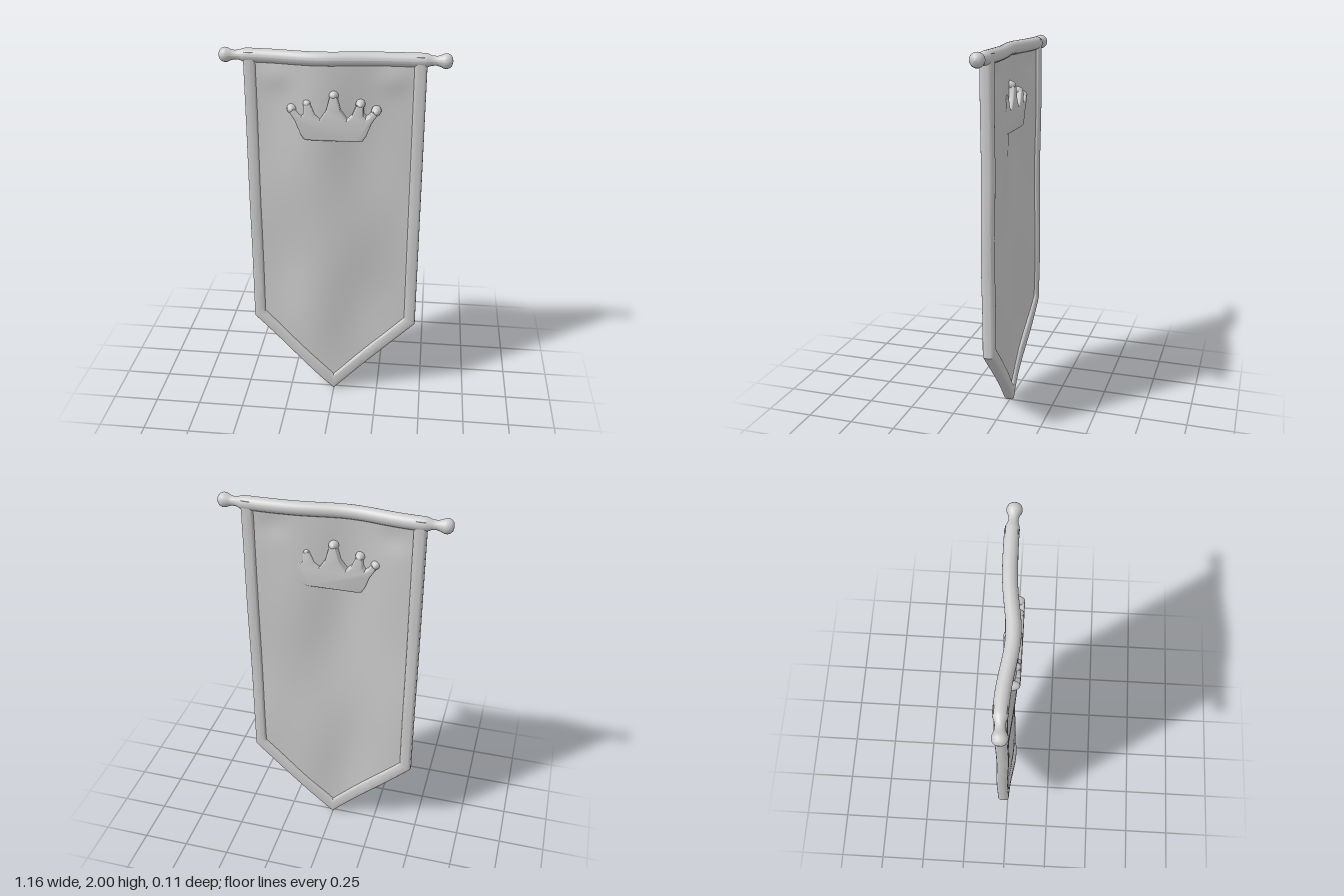
import * as THREE from 'three';
import { toCreasedNormals } from 'three/addons/utils/BufferGeometryUtils.js';

const material = new THREE.MeshStandardMaterial({ color: 0xcccccc, roughness: 0.8 });
const ROD_Y = 1.965;

// Depth of the hanging banner: it bulges forward just left of the middle
function wave(x, y) {
  const bulge = 0.028 + 0.007 * y / 2 + 0.013 * Math.exp(-(((y - 1.4) / 0.35) ** 2));
  return -0.02 + bulge * Math.exp(-(((x + 0.08) / 0.2) ** 2)) + 0.003 * Math.sin(7 * y + 2 * x) * Math.sin(y * Math.PI / 2);
}

// Soft diagonal creases, fading towards the hem
function folds(x, y) {
  const fade = Math.max(0, 1 - (x / 0.42) ** 2);
  const corner = Math.exp(-(((Math.abs(x) - 0.3) / 0.08) ** 2) - ((y - 1.87) / 0.07) ** 2);
  return fade * (0.005 * Math.sin(9 * x - 6 * y) + 0.003 * Math.sin(14 * x + 5 * y + 1)) + 0.01 * corner;
}

// Moves every vertex of a geometry by a rule
function deform(geometry, rule) {
  const p = geometry.attributes.position;
  const v = new THREE.Vector3();
  for (let i = 0; i < p.count; i++) {
    rule(v.fromBufferAttribute(p, i));
    p.setXYZ(i, v.x, v.y, v.z);
  }
  geometry.computeVertexNormals();
  return geometry;
}

function addMesh(parent, name, geometry) {
  const mesh = new THREE.Mesh(geometry, material);
  mesh.name = name;
  parent.add(mesh);
  return mesh;
}

// Cloth panel: a thin box whose lower edge is drawn to a point
function clothGeometry() {
  return deform(new THREE.BoxGeometry(0.85, 1, 0.028, 48, 90, 1), (v) => {
    const bottom = 0.055 + Math.abs(v.x) * 0.99;
    v.y = THREE.MathUtils.lerp(bottom, 1.96, v.y + 0.5);
    v.z += wave(v.x, v.y) + folds(v.x, v.y);
  });
}

// Padded hem: a rounded section swept down one side, round the point and up
function hemGeometry() {
  const outer = [[0.455, 1.985], [0.455, 0.46], [0, 0], [-0.455, 0.46], [-0.455, 1.985]];
  const inner = [[0.393, 1.985], [0.393, 0.495], [0, 0.1], [-0.393, 0.495], [-0.393, 1.985]];
  const steps = [50, 20, 20, 50];
  const sides = 24;
  const positions = [];
  const indices = [];
  const soft = (c) => Math.sign(c) * Math.abs(c) ** 0.5;
  let rings = 0;
  const addRing = (k, t) => {
    const mix = (list, axis) => THREE.MathUtils.lerp(list[k][axis], list[k + 1][axis], t);
    for (let j = 0; j < sides; j++) {
      const angle = (j / sides) * Math.PI * 2;
      const u = (1 - soft(Math.cos(angle))) / 2;
      const x = THREE.MathUtils.lerp(mix(outer, 0), mix(inner, 0), u);
      const y = THREE.MathUtils.lerp(mix(outer, 1), mix(inner, 1), u);
      positions.push(x, y, wave(x, y) + 0.031 * soft(Math.sin(angle)));
    }
    rings++;
  };
  steps.forEach((n, k) => {
    for (let s = 0; s < n; s++) addRing(k, s / n);
  });
  addRing(3, 1);
  for (let i = 0; i < rings - 1; i++) {
    for (let j = 0; j < sides; j++) {
      const a = i * sides + j;
      const b = i * sides + ((j + 1) % sides);
      indices.push(a, b, a + sides, b, b + sides, a + sides);
    }
  }
  // End caps
  const last = (rings - 1) * sides;
  for (let j = 1; j < sides - 1; j++) indices.push(0, j + 1, j, last, last + j, last + j + 1);
  const geometry = new THREE.BufferGeometry();
  geometry.setAttribute('position', new THREE.Float32BufferAttribute(positions, 3));
  geometry.setIndex(indices);
  return toCreasedNormals(geometry, 0.75);
}

// Rod with a neck and knob at each end, bent along the top of the cloth
function rodGeometry() {
  const end = [
    [0.44, 0.035], [0.456, 0.033], [0.475, 0.025], [0.5, 0.023], [0.518, 0.028],
    [0.535, 0.036], [0.55, 0.037], [0.565, 0.031], [0.574, 0.02], [0.578, 0],
  ];
  const profile = end.map(([x, r]) => new THREE.Vector2(r, -x)).reverse();
  for (let i = 1; i < 40; i++) profile.push(new THREE.Vector2(0.035, -0.44 + i * 0.022));
  end.forEach(([x, r]) => profile.push(new THREE.Vector2(r, x)));
  const geometry = new THREE.LatheGeometry(profile, 24);
  geometry.rotateZ(-Math.PI / 2);
  return deform(geometry, (v) => {
    const tip = THREE.MathUtils.smoothstep(Math.abs(v.x), 0.42, 0.55);
    v.z += wave(v.x, ROD_Y) + 0.006 * tip;
    v.y += ROD_Y;
  });
}

// Crown emblem standing out from both faces of the cloth
function buildCrown() {
  const crown = new THREE.Group();
  crown.name = 'crown';
  const half = [[0.012, 1.775], [0.028, 1.71], [0.066, 1.655], [0.1, 1.685], [0.122, 1.738],
    [0.142, 1.732], [0.143, 1.69], [0.16, 1.667], [0.182, 1.68], [0.2, 1.705], [0.21, 1.695],
    [0.185, 1.655], [0.16, 1.59], [0.145, 1.566], [0.12, 1.562]];
  const points = half.map(([x, y]) => new THREE.Vector2(x, y));
  const mirrored = half.map(([x, y]) => new THREE.Vector2(-x, y)).reverse();
  const bevel = 0.008;
  const body = new THREE.ExtrudeGeometry(new THREE.Shape([...points, ...mirrored]), {
    depth: 0.071, bevelThickness: bevel, bevelSize: bevel, bevelSegments: 3,
  });
  body.translate(0, 0, -0.024);
  addMesh(crown, 'crownBody', toCreasedNormals(body, 0.7));
  const balls = [[0, 1.787, 0.026], [0.133, 1.742, 0.024], [-0.133, 1.742, 0.024],
    [0.213, 1.71, 0.025], [-0.213, 1.71, 0.025]];
  for (const [x, y, r] of balls) {
    const ball = addMesh(crown, 'crownBall', new THREE.SphereGeometry(r, 20, 14));
    ball.position.set(x, y, 0.0115);
    ball.scale.z = 0.0445 / r;
  }
  return crown;
}

export function createModel() {
  const banner = new THREE.Group();
  banner.name = 'banner';
  addMesh(banner, 'cloth', toCreasedNormals(clothGeometry(), 0.8));
  addMesh(banner, 'hem', hemGeometry());
  addMesh(banner, 'rod', rodGeometry());
  banner.add(buildCrown());
  return banner;
}
